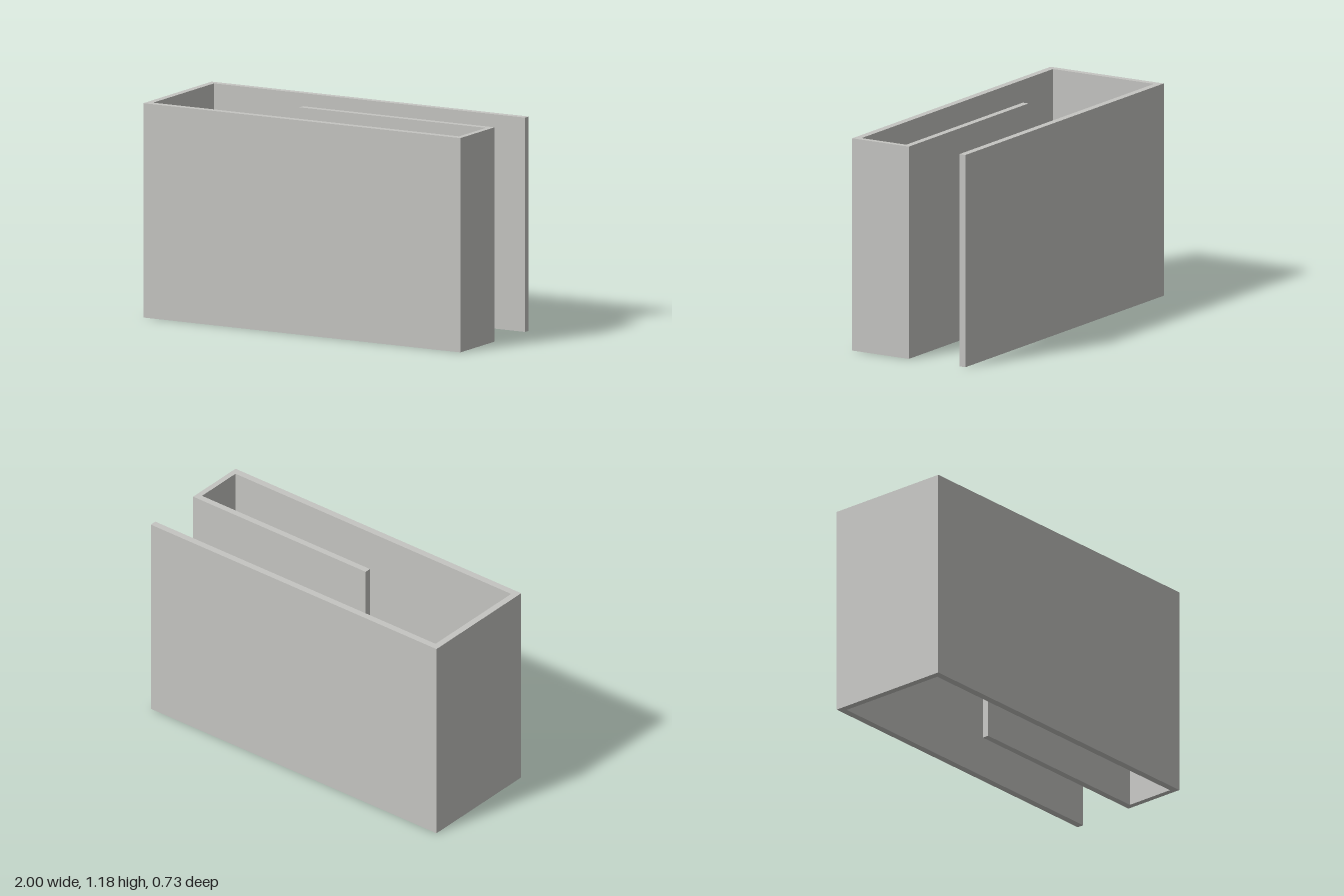
import * as THREE from 'three';

export function createModel() {
  const model = new THREE.Group();
  model.name = 'foldedPanelStand';
  const grey = new THREE.MeshStandardMaterial({ color: 0xc4c4c1 });
  grey.name = 'light grey';

  const H = 1.185;

  // Upright panel spanning x0..x1 and z0..z1 over the full height
  function panel(name, x0, x1, z0, z1) {
    const mesh = new THREE.Mesh(new THREE.BoxGeometry(x1 - x0, H, z1 - z0), grey);
    mesh.position.set((x0 + x1) / 2, H / 2, (z0 + z1) / 2);
    mesh.name = name;
    model.add(mesh);
  }

  // Spiral of panels, from the outer back sheet to the inner divider
  panel('backPanel', -1, 1, -0.365, -0.326);
  panel('rightWall', -1, -0.962, -0.326, 0.325);
  panel('frontPanel', -1, 1, 0.325, 0.365);
  panel('leftWall', 0.968, 1, 0.037, 0.325);
  panel('innerDivider', -0.208, 1, 0, 0.037);

  // Round bar crossing the gaps, split by the divider
  function bar(name, z0, z1) {
    const geo = new THREE.CylinderGeometry(0.074, 0.074, z1 - z0, 48);
    geo.rotateX(Math.PI / 2);
    const mesh = new THREE.Mesh(geo, grey);
    mesh.position.set(0.122, 0.593, (z0 + z1) / 2);
    mesh.name = name;
    model.add(mesh);
  }
  bar('backBar', -0.326, 0);
  bar('frontBar', 0.037, 0.325);

  return model;
}
